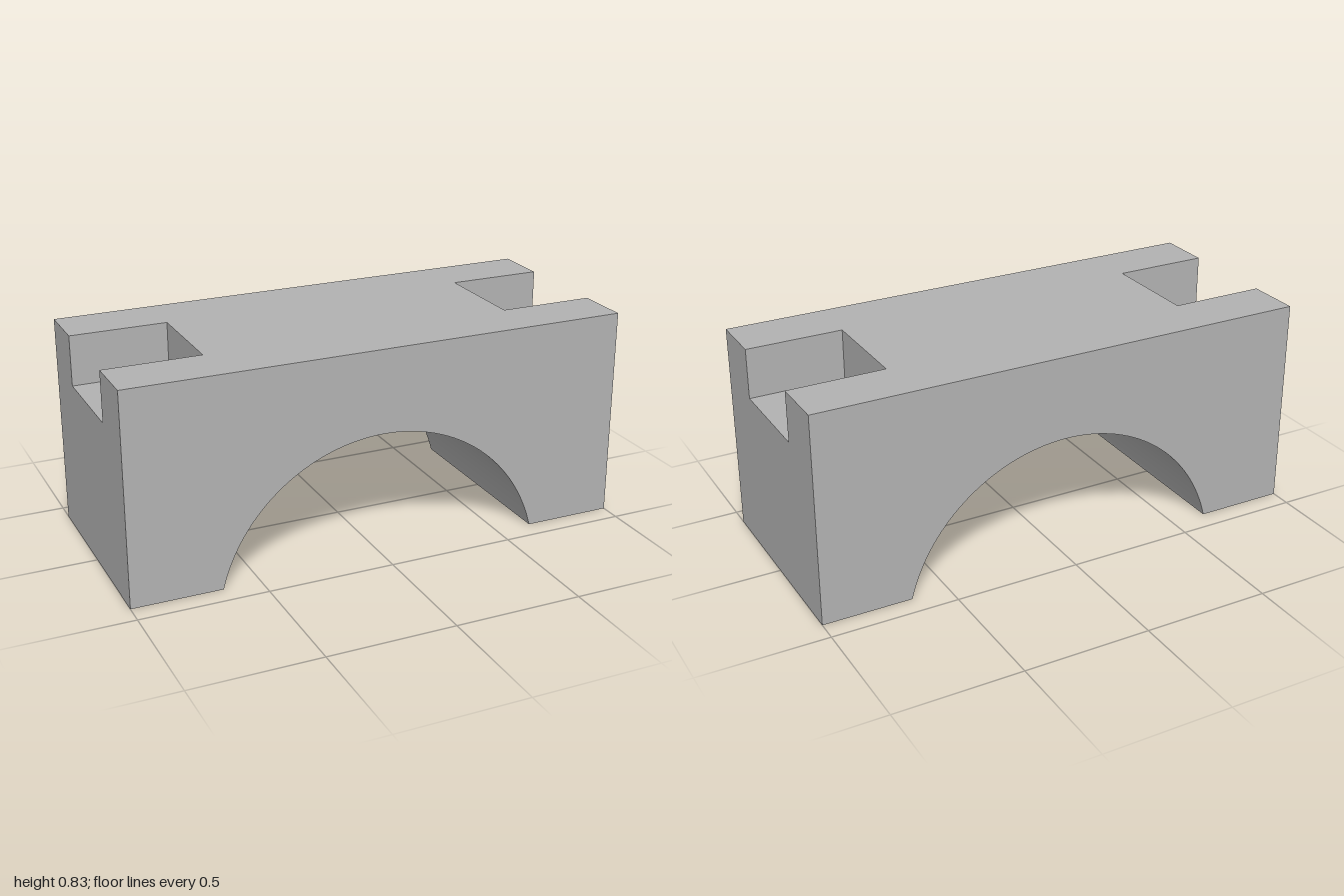
import * as THREE from 'three';
import { mergeGeometries } from 'three/addons/utils/BufferGeometryUtils.js';

const H = 0.833, D = 0.4165;                 // height, half depth
const R = 0.667, CY = -0.165;                // arch radius and centre height
const A = Math.acos(-CY / R);                // half angle of the arch
const W = R * Math.sin(A);                   // half width of the arch at the base
const PX = 0.62, PZ = 0.2, PY = 0.635;       // pocket inner wall, half width, floor
const HX = 0.82, HR = 0.104;                 // bolt hole centre and radius
const SEG = 32;

const polygon = (pts) => new THREE.Shape(pts.map(([x, y]) => new THREE.Vector2(x, y)));
const face = (shape) => new THREE.ShapeGeometry(shape, SEG);

// rectangle with a round bolt hole
function drilled(x0, x1, z) {
  const s = polygon([[x0, -z], [x1, -z], [x1, z], [x0, z]]);
  s.holes.push(new THREE.Path().absarc(HX, 0, HR, 0, Math.PI * 2, true));
  return face(s);
}

// turn a surface inside out
function invert(g) {
  const idx = g.index.array, n = g.attributes.normal.array;
  for (let i = 0; i < idx.length; i += 3) [idx[i], idx[i + 1]] = [idx[i + 1], idx[i]];
  for (let i = 0; i < n.length; i++) n[i] *= -1;
  return g;
}

export function createModel() {
  const group = new THREE.Group();
  group.name = 'archedClampBlock';
  const grey = new THREE.MeshStandardMaterial({ color: 0xb2b2b2 });
  grey.name = 'grey';

  const add = (name, geometry, parent = group) => {
    const mesh = new THREE.Mesh(geometry, grey);
    mesh.name = name;
    parent.add(mesh);
  };

  // front and back walls with the arch cut out
  const profile = new THREE.Shape();
  profile.moveTo(-1, 0);
  profile.lineTo(-W, 0);
  profile.absarc(0, CY, R, Math.PI / 2 + A, Math.PI / 2 - A, true);
  profile.lineTo(1, 0);
  profile.lineTo(1, H);
  profile.lineTo(-1, H);
  add('frontWall', face(profile).translate(0, 0, D));
  add('backWall', face(profile).rotateY(Math.PI).translate(0, 0, -D));

  // top face, notched at both ends
  const top = polygon([
    [-1, -D], [1, -D], [1, -PZ], [PX, -PZ], [PX, PZ], [1, PZ],
    [1, D], [-1, D], [-1, PZ], [-PX, PZ], [-PX, -PZ], [-1, -PZ],
  ]);
  add('topFace', face(top).rotateX(-Math.PI / 2).translate(0, H, 0));

  // smooth inside of the arch
  const arch = new THREE.CylinderGeometry(R, R, 2 * D, SEG * 2, 1, true, -A, 2 * A);
  add('archSurface', invert(arch.rotateX(-Math.PI / 2).translate(0, CY, 0)));

  // the two ends are the same, turned half round
  for (const side of ['left', 'right']) {
    const end = new THREE.Group();
    end.name = side + 'End';
    if (side === 'right') end.rotation.y = Math.PI;
    group.add(end);

    const wall = polygon([
      [-D, 0], [D, 0], [D, H], [PZ, H], [PZ, PY], [-PZ, PY], [-PZ, H], [-D, H],
    ]);
    add('endWall', face(wall).rotateY(Math.PI / 2).translate(1, 0, 0), end);

    add('footFace', drilled(W, 1, D).rotateX(Math.PI / 2), end);
    add('pocketFloor', drilled(PX, 1, PZ).rotateX(-Math.PI / 2).translate(0, PY, 0), end);

    const depth = H - PY, midY = (H + PY) / 2, midX = (1 + PX) / 2;
    add('pocketWalls', mergeGeometries([
      new THREE.PlaneGeometry(2 * PZ, depth).rotateY(Math.PI / 2).translate(PX, midY, 0),
      new THREE.PlaneGeometry(1 - PX, depth).translate(midX, midY, -PZ),
      new THREE.PlaneGeometry(1 - PX, depth).rotateY(Math.PI).translate(midX, midY, PZ),
    ]), end);

    const bore = new THREE.CylinderGeometry(HR, HR, PY, SEG * 2, 1, true);
    add('boltHole', invert(bore.translate(HX, PY / 2, 0)), end);
  }
  return group;
}
